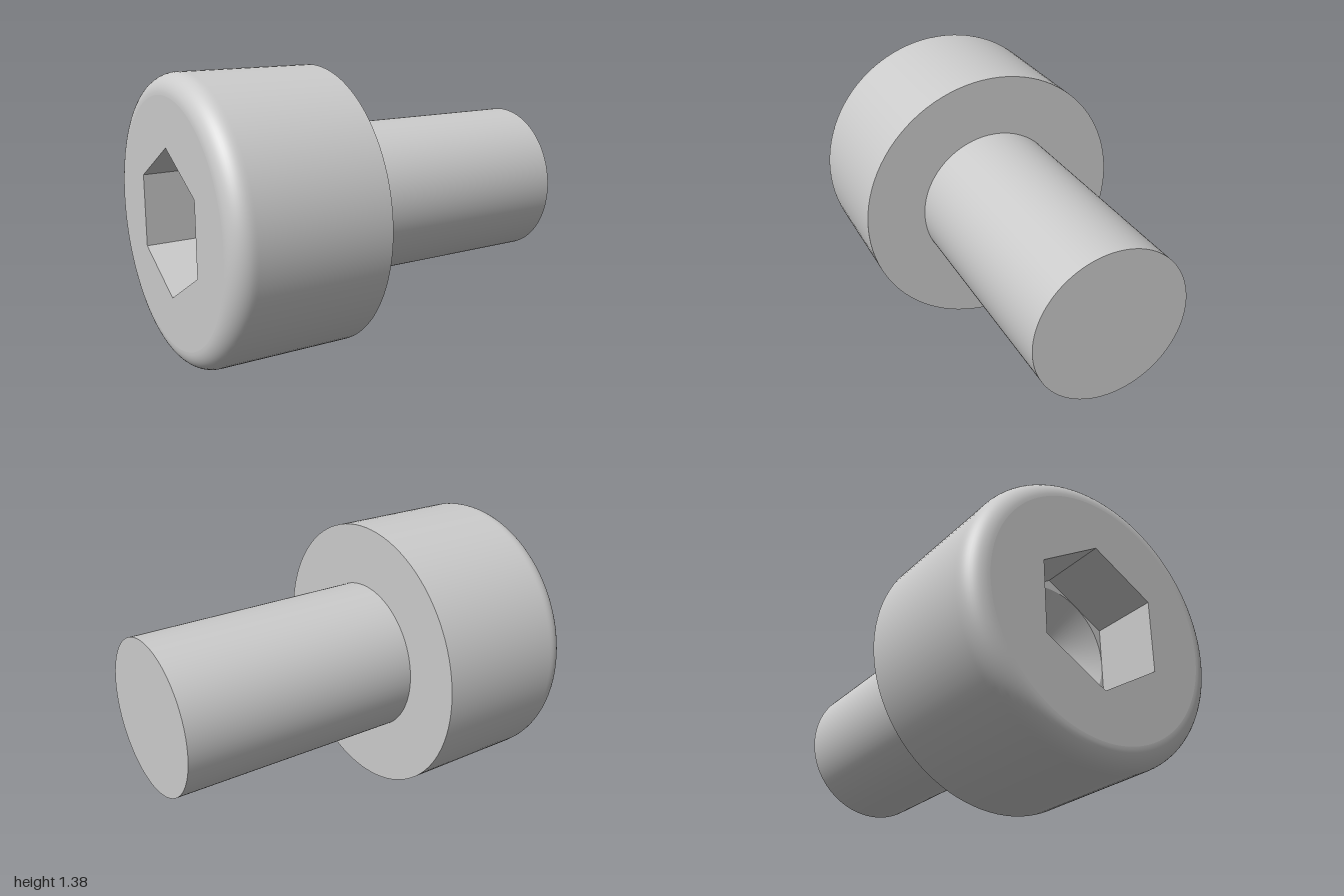
import * as THREE from 'three';

const HEAD_R = 0.692, SHANK_R = 0.385, FILLET = 0.1;
const HEAD_BACK = -1, HEAD_FRONT = -0.23, SHANK_END = 1;
const APOTHEM = 0.308, HEX_R = APOTHEM / Math.cos(Math.PI / 6);
const SOCKET_FLOOR = HEAD_BACK + 0.33, CONE_DEPTH = 0.178;
const SEGMENTS = 96;

export function createModel() {
  const model = new THREE.Group();
  model.name = 'socketHeadScrew';
  const smooth = new THREE.MeshStandardMaterial({ color: 0xcccccc, side: THREE.DoubleSide });
  const flat = smooth.clone();
  flat.flatShading = true;

  // Everything is made along local y, which then becomes the model's x axis
  const screw = new THREE.Group();
  screw.name = 'screw';
  screw.rotation.z = -Math.PI / 2;
  screw.position.y = HEAD_R;
  model.add(screw);

  const add = (name, geometry, material = smooth) => {
    const mesh = new THREE.Mesh(geometry, material);
    mesh.name = name;
    screw.add(mesh);
  };
  const lathe = (points) =>
    new THREE.LatheGeometry(points.map(([r, y]) => new THREE.Vector2(r, y)), SEGMENTS);

  // Flat face with a hexagonal or round hole, facing local -y
  const faceWithHole = (radius, hole, y) => {
    const shape = new THREE.Shape().absarc(0, 0, radius, 0, Math.PI * 2);
    shape.holes.push(hole);
    return new THREE.ShapeGeometry(shape, SEGMENTS / 2).rotateX(Math.PI / 2).translate(0, y, 0);
  };
  const hexPoints = Array.from({ length: 6 }, (_, i) => {
    const a = i * Math.PI / 3;
    return new THREE.Vector2(HEX_R * Math.cos(a), HEX_R * Math.sin(a));
  });

  // Head: rounded rim running into the straight side
  const side = [];
  for (let i = 0; i <= 12; i++) {
    const a = i / 12 * Math.PI / 2;
    side.push([HEAD_R - FILLET + FILLET * Math.sin(a), HEAD_BACK + FILLET - FILLET * Math.cos(a)]);
  }
  side.push([HEAD_R, HEAD_BACK + FILLET + 0.01], [HEAD_R, HEAD_FRONT]);
  add('headSide', lathe(side));
  add('headFace', faceWithHole(HEAD_R - FILLET, new THREE.Path(hexPoints), HEAD_BACK), flat);
  add('bearingFace', lathe([[HEAD_R, HEAD_FRONT], [SHANK_R, HEAD_FRONT]]), flat);

  // Hexagonal socket: six walls, corner ledges and a conical bottom
  const depth = SOCKET_FLOOR - HEAD_BACK;
  const walls = new THREE.CylinderGeometry(HEX_R, HEX_R, depth, 6, 1, true, Math.PI / 2);
  add('socketWalls', walls.translate(0, HEAD_BACK + depth / 2, 0), flat);
  const ledge = new THREE.Shape(hexPoints);
  ledge.holes.push(new THREE.Path().absarc(0, 0, APOTHEM - 0.001, 0, Math.PI * 2, true));
  add('socketLedge',
    new THREE.ShapeGeometry(ledge, SEGMENTS / 2).rotateX(Math.PI / 2).translate(0, SOCKET_FLOOR, 0), flat);
  add('socketCone', lathe([[0, SOCKET_FLOOR + CONE_DEPTH], [APOTHEM, SOCKET_FLOOR]]));

  // Plain shank with a flat end
  add('shank', lathe([[SHANK_R, HEAD_FRONT], [SHANK_R, SHANK_END]]));
  add('shankEnd', new THREE.CircleGeometry(SHANK_R, SEGMENTS).rotateX(-Math.PI / 2).translate(0, SHANK_END, 0));

  return model;
}
